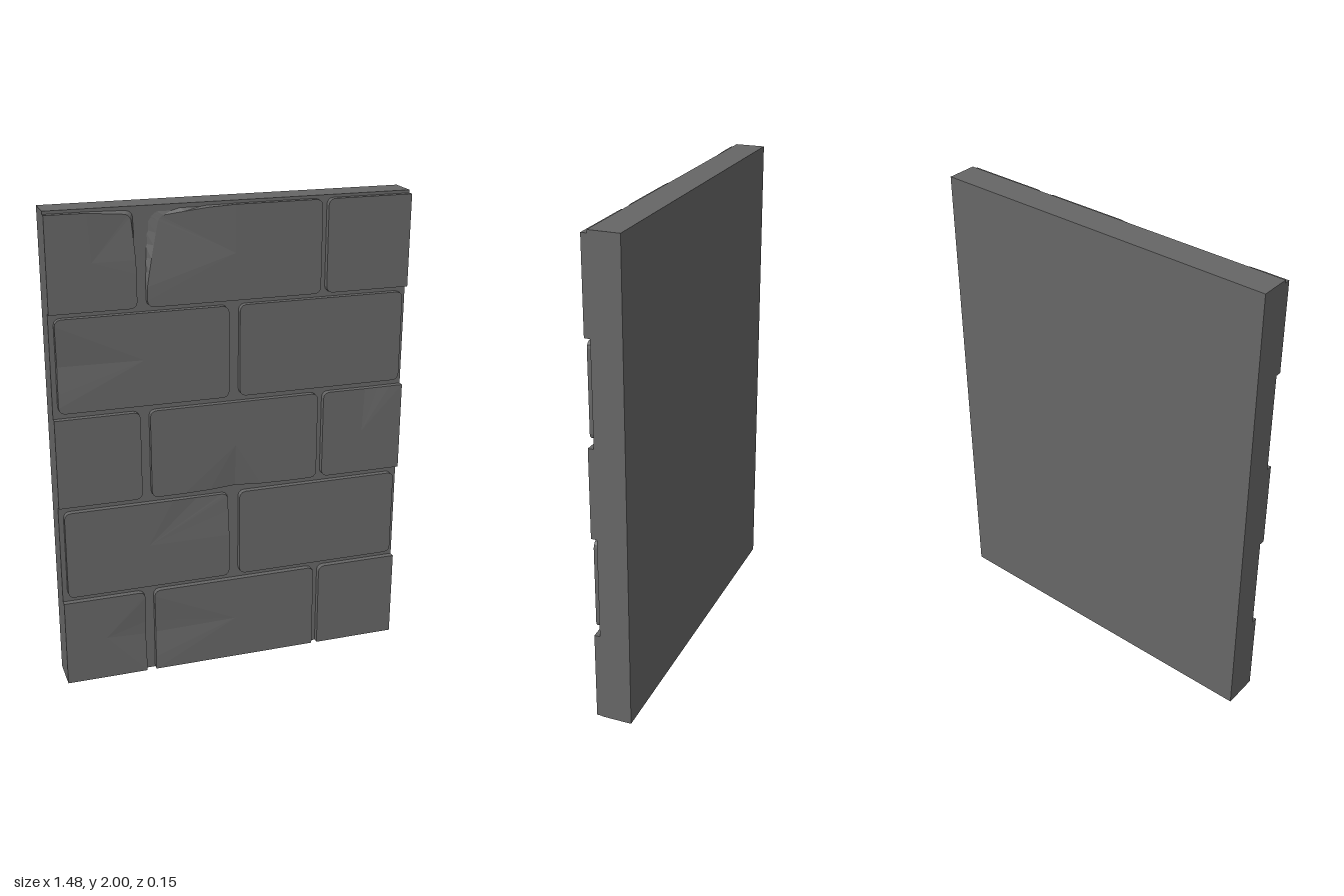
import * as THREE from 'three';

const W = 0.74, H = 2, BACK = -0.075, WALL = 0.05, FACE = 0.074, R = 0.025;

// Outline of a brick, counter-clockwise; each corner is rounded or square.
function outline(x0, x1, y0, y1, square) {
  const corners = [[x1, y0, -1, 1], [x1, y1, -1, -1], [x0, y1, 1, -1], [x0, y0, 1, 1]];
  const arcs = corners.map(([x, y, sx, sy], i) => {
    if (square[i]) return [[x, y]];
    return [0, 1, 2, 3].map(k => {
      const a = (i - 1 + k / 3) * Math.PI / 2;
      return [x + sx * R + R * Math.cos(a), y + sy * R + R * Math.sin(a)];
    });
  });
  const pts = [];
  arcs.forEach((arc, i) => {
    pts.push(...arc);
    // Extra points along the edge so that it can be chipped
    const a = arc[arc.length - 1], b = arcs[(i + 1) % 4][0];
    for (let k = 1; k < 6; k++) pts.push([a[0] + (b[0] - a[0]) * k / 6, a[1] + (b[1] - a[1]) * k / 6]);
  });
  return pts;
}

// Brick face fanned from its centre, with side walls running back into the slab.
// A chip [x, y, reach, depth, inset] pushes nearby rim points back and inwards.
function brickGeometry(x0, x1, y0, y1, square, chips) {
  const cx = (x0 + x1) / 2, cy = (y0 + y1) / 2;
  const rear = outline(x0, x1, y0, y1, square).map(([x, y]) => [x, y, WALL - 0.005]);
  const rim = rear.map(([x, y]) => {
    let z = FACE, px = x, py = y;
    for (const [hx, hy, reach, depth, inset] of chips) {
      const f = Math.max(0, 1 - Math.hypot(x - hx, y - hy) / reach);
      z -= depth * f;
      px += (cx - x) * inset * f;
      py += (cy - y) * inset * f;
    }
    return [px, py, z];
  });
  const pos = [], centre = [cx, cy, FACE];
  rim.forEach((a, i) => {
    const j = (i + 1) % rim.length, b = rim[j], c = rear[i], d = rear[j];
    pos.push(...centre, ...a, ...b, ...c, ...d, ...b, ...c, ...b, ...a);
  });
  const g = new THREE.BufferGeometry();
  g.setAttribute('position', new THREE.Float32BufferAttribute(pos, 3));
  g.computeVertexNormals();
  return g;
}

export function createModel() {
  const model = new THREE.Group();
  model.name = 'brickWall';
  const stone = new THREE.MeshStandardMaterial({ color: 0x666666, flatShading: true });
  stone.name = 'grey stone';

  // Mortar slab
  const slab = new THREE.Mesh(new THREE.BoxGeometry(2 * W, H, WALL - BACK), stone);
  slab.name = 'mortarSlab';
  slab.position.set(0, H / 2, (WALL + BACK) / 2);
  model.add(slab);

  // Courses alternate between three bricks (cut at the ends) and two whole ones
  const rows = [[0.002, 0.38], [0.405, 0.785], [0.81, 1.185], [1.21, 1.59], [1.61, 1.988]];
  const three = [[-W, -0.395], [-0.355, 0.36], [0.385, W]];
  const two = [[-0.72, -0.025], [0.02, 0.72]];
  const chips = {
    '0-0': [[-0.395, 0.2, 0.16, 0.01, 0.01]],
    '0-1': [[-0.355, 0.19, 0.16, 0.012, 0.01]],
    '1-0': [[-0.1, 0.785, 0.2, 0.012, 0.02]],
    '2-1': [[0, 0.81, 0.15, 0.012, 0.03]],
    '2-2': [[0.58, 1.185, 0.13, 0.008, 0.02]],
    '3-0': [[-0.72, 1.4, 0.15, 0.012, 0.01]],
    '4-0': [[-0.395, 1.988, 0.2, 0.012, 0.09]],
    '4-1': [[-0.35, 1.985, 0.3, 0.02, 0.16]],
  };
  rows.forEach(([y0, y1], r) => {
    (r % 2 ? two : three).forEach(([x0, x1], c) => {
      const l = x0 === -W, t = x1 === W, base = r === 0;
      const square = [t || base, t, l, l || base];
      const brick = new THREE.Mesh(brickGeometry(x0, x1, y0, y1, square, chips[`${r}-${c}`] || []), stone);
      brick.name = `brickRow${r + 1}Number${c + 1}`;
      model.add(brick);
    });
  });
  return model;
}
